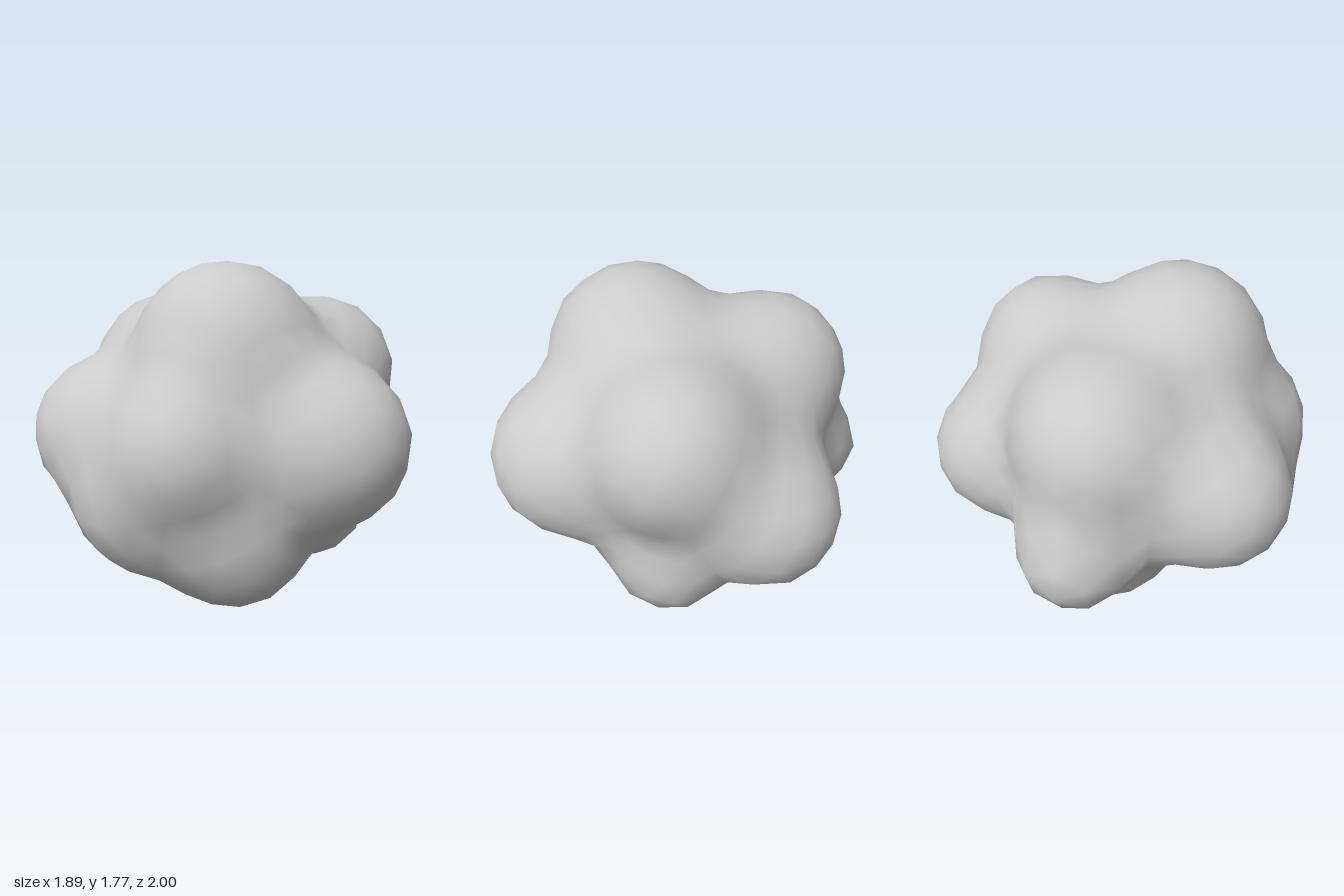
import * as THREE from 'three';
import { mergeVertices } from 'three/addons/utils/BufferGeometryUtils.js';

const CENTRE = new THREE.Vector3(0, 0.88, 0);
const BASE = 0.7; // radius in the valleys

// Lobes: tip x, y, z and angular width
const LOBES = [
  [0.06, 0.93, 1.0, 0.54], // front
  [-0.4, 1.69, 0.33, 0.58], // top
  [0.79, 1.38, 0.29, 0.52], // upper left
  [0.93, 0.75, -0.38, 0.5], // left, towards the back
  [-0.07, 1.4, -0.82, 0.54], // upper back
  [0, 0.61, -1.0, 0.4], // back
  [0, 0.02, -0.4, 0.44], // bottom
  [-0.45, 0.19, 0.45, 0.52], // lower front right
  [0.6, 0.24, 0.27, 0.42], // lower left
  [-0.87, 0.93, -0.55, 0.5], // right, towards the back
  [-0.86, 0.93, 0.39, 0.48], // right, towards the front
  [-0.88, 0.46, -0.02, 0.42], // lower right
].map(([x, y, z, width]) => {
  const dir = new THREE.Vector3(x, y, z).sub(CENTRE);
  const height = dir.length() - BASE;
  return { dir: dir.normalize(), height, width };
});

// Radius in a direction: base ball plus softly blended lobes
function radius(dir) {
  let sum = 0;
  for (const { dir: axis, height, width } of LOBES) {
    sum += (height * Math.exp(-((dir.angleTo(axis) / width) ** 2.6))) ** 2;
  }
  return BASE + Math.sqrt(sum);
}

export function createModel() {
  const group = new THREE.Group();
  group.name = 'lumpyBoulder';

  // Shared vertices give smooth normals
  let geometry = new THREE.IcosahedronGeometry(1, 6);
  geometry.deleteAttribute('normal');
  geometry.deleteAttribute('uv');
  geometry = mergeVertices(geometry, 1e-4);

  // Push each vertex out to the lobed surface
  const position = geometry.attributes.position;
  const v = new THREE.Vector3();
  for (let i = 0; i < position.count; i++) {
    v.fromBufferAttribute(position, i).normalize();
    v.multiplyScalar(radius(v)).add(CENTRE);
    position.setXYZ(i, v.x, v.y, v.z);
  }
  geometry.computeVertexNormals();

  const body = new THREE.Mesh(geometry, new THREE.MeshStandardMaterial({ color: 0xcccccc }));
  body.name = 'boulderBody';
  group.add(body);
  return group;
}
